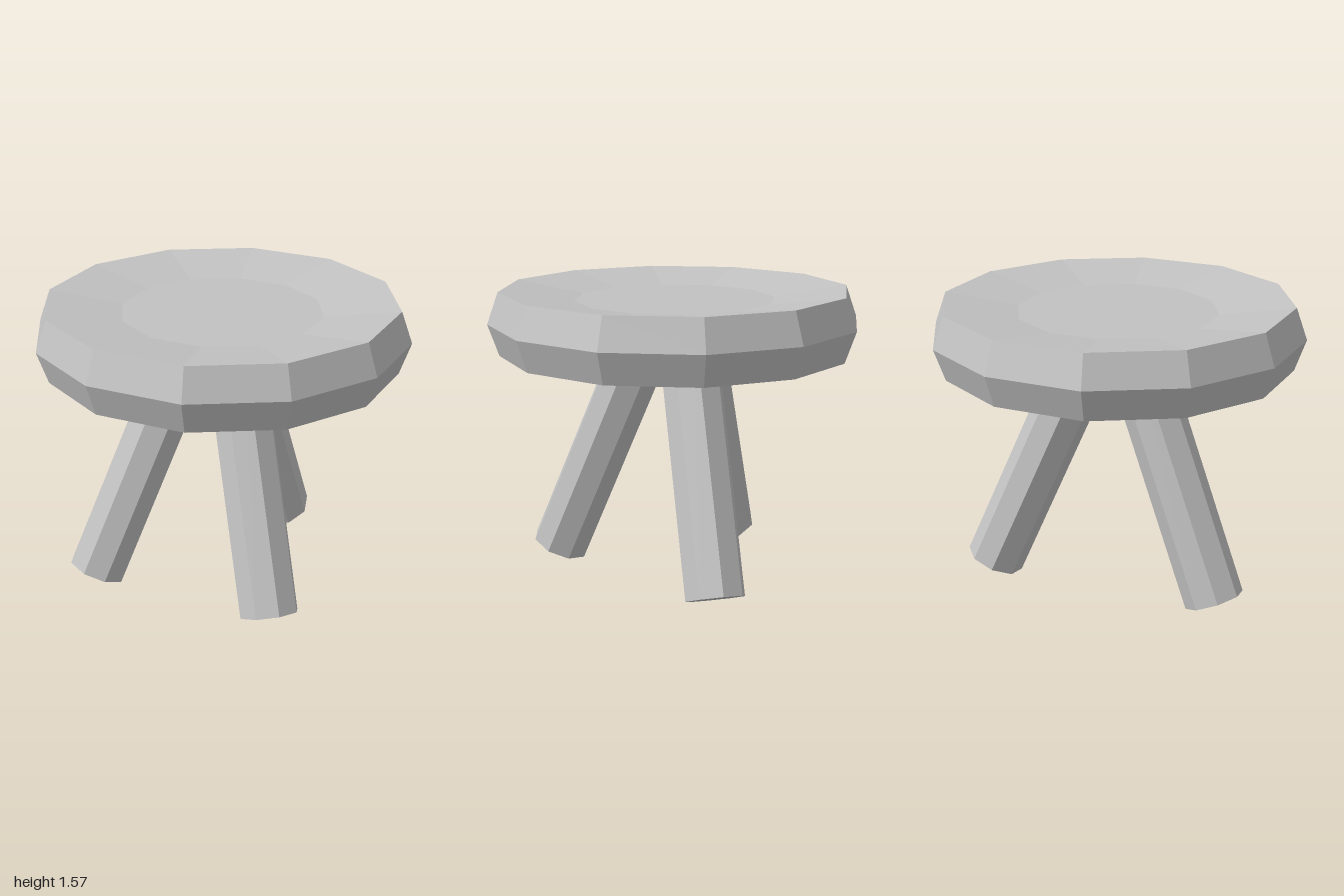
import * as THREE from 'three';

export function createModel() {
  const group = new THREE.Group();
  const grey = new THREE.MeshStandardMaterial({ color: 0xc2c2c2, flatShading: true });
  grey.name = 'plain grey';

  // Twelve-sided seat with bevelled rim and a shallow dished top
  const profile = [[0, 1.24], [0.94, 1.24], [1, 1.41], [0.94, 1.58], [0.54, 1.525], [0, 1.525]]
    .map(([r, y]) => new THREE.Vector2(r, y));
  const seat = new THREE.Mesh(new THREE.LatheGeometry(profile, 12), grey);
  seat.name = 'seat';
  group.add(seat);

  // Three octagonal legs, splayed outwards, tops buried in the seat
  const tilt = THREE.MathUtils.degToRad(23.5);
  const length = 1.39;
  const legGeometry = new THREE.CylinderGeometry(0.16, 0.16, length, 8);
  legGeometry.translate(0, length / 2, 0); // pivot at the foot

  const addLeg = (name, x, z, heading) => {
    const leg = new THREE.Mesh(legGeometry, grey);
    leg.name = name;
    leg.position.set(x, 0.07, z);
    leg.rotation.set(-tilt, THREE.MathUtils.degToRad(heading), 0, 'YXZ');
    group.add(leg);
  };
  addLeg('frontLeg', 0.02, 0.7, 0);
  addLeg('rightLeg', -0.715, -0.055, -90);
  addLeg('backLeftLeg', 0.535, -0.435, 126.5);

  return group;
}
